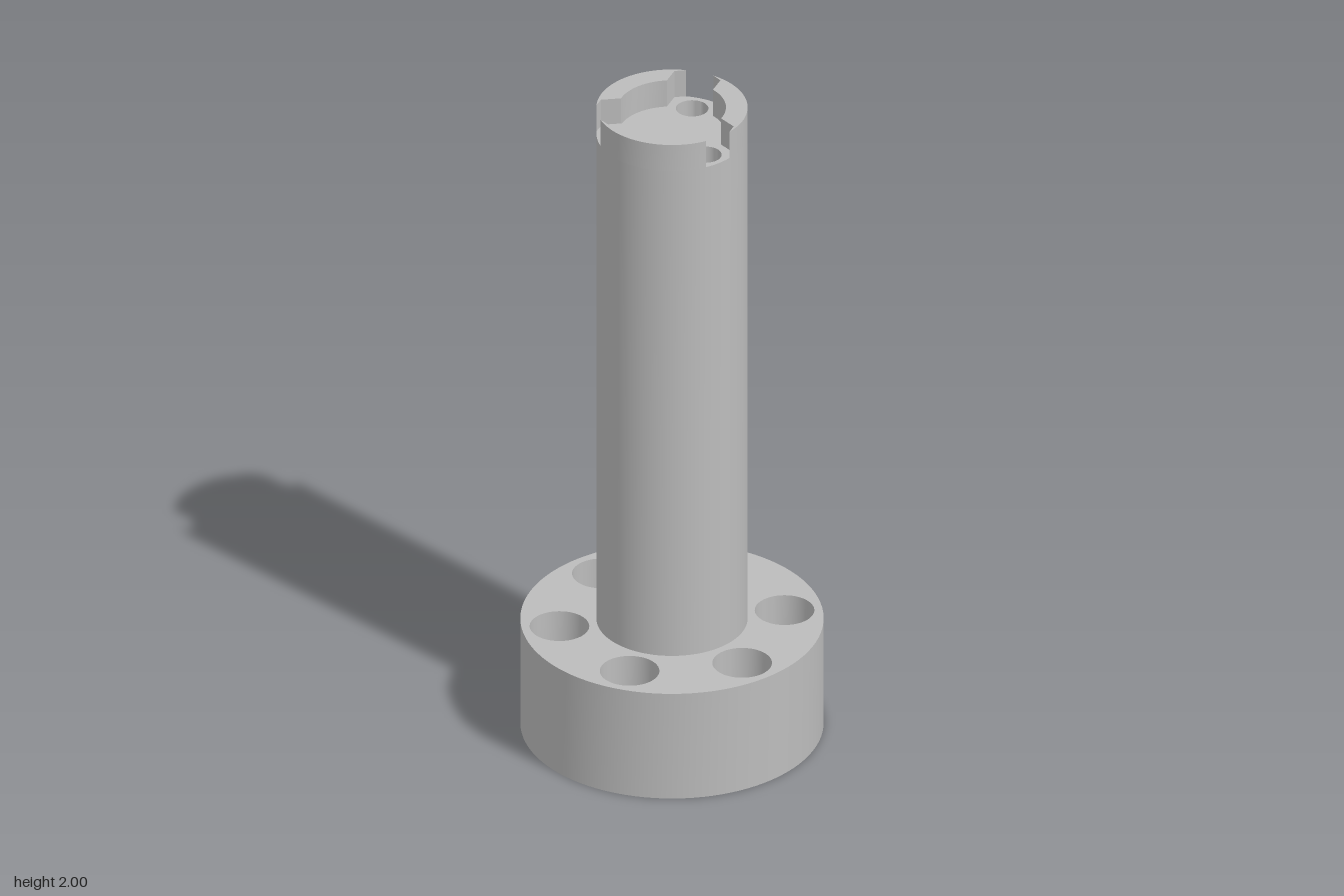
import * as THREE from 'three';
import { toCreasedNormals, mergeGeometries } from 'three/addons/utils/BufferGeometryUtils.js';

const FLANGE_R = 0.427, FLANGE_H = 0.34;
const COLUMN_R = 0.213, FLOOR_Y = 1.915, TOP_Y = 2;
const HOLE_R = 0.046, BORE_R = 0.084, BORE_Y = 0.14;
const HEX_R = 0.081, HEX_Y = 0.1, ROD_RADIUS = 0.152, SCREW_RADIUS = 0.32;
const CROWN_R = 0.152;

// Outlines are drawn in plan, with plan y pointing to the back (-z).
const polar = (r, a, c = new THREE.Vector2()) =>
  new THREE.Vector2(c.x + r * Math.cos(a), c.y + r * Math.sin(a));
const ring = (r, n, c, start = 0) =>
  Array.from({ length: n }, (_, i) => polar(r, start + (i / n) * Math.PI * 2, c));
const arc = (r, a0, a1, n) =>
  Array.from({ length: n + 1 }, (_, i) => polar(r, a0 + ((a1 - a0) * i) / n));

// Flat face at height y with holes, facing up or down
function cap(outline, holes, y, up = true) {
  const shape = new THREE.Shape(outline);
  shape.holes = holes.map((h) => new THREE.Path(h));
  let g = new THREE.ShapeGeometry(shape);
  if (!up) {
    const index = g.getIndex().array;
    for (let i = 0; i < index.length; i += 3) [index[i], index[i + 1]] = [index[i + 1], index[i]];
  }
  g.rotateX(-Math.PI / 2).translate(0, y, 0);
  g.deleteAttribute('uv');
  g = g.toNonIndexed();
  g.computeVertexNormals();
  return g;
}

// Upright wall along a closed outline; inward for holes
function wall(outline, y0, y1, inward = false) {
  const pts = inward ? [...outline].reverse() : outline;
  const pos = [];
  pts.forEach((a, i) => {
    const b = pts[(i + 1) % pts.length];
    pos.push(a.x, y0, -a.y, b.x, y0, -b.y, b.x, y1, -b.y);
    pos.push(a.x, y0, -a.y, b.x, y1, -b.y, a.x, y1, -a.y);
  });
  const g = new THREE.BufferGeometry();
  g.setAttribute('position', new THREE.Float32BufferAttribute(pos, 3));
  g.computeVertexNormals();
  return toCreasedNormals(g, 0.45);
}

export function createModel() {
  const model = new THREE.Group();
  model.name = 'flangedPost';
  const grey = new THREE.MeshStandardMaterial({ color: 0xbcbcbc });
  grey.name = 'plainGrey';
  const add = (name, ...parts) => {
    const mesh = new THREE.Mesh(mergeGeometries(parts), grey);
    mesh.name = name;
    model.add(mesh);
  };

  const rodAngles = [0, 1, 2].map((i) => Math.PI / 2 + (i * Math.PI * 2) / 3);
  const screwCentres = ring(SCREW_RADIUS, 6, undefined, Math.PI / 2);
  const screwHoles = screwCentres.map((c) => ring(HOLE_R, 32, c));
  const bores = screwCentres.map((c) => ring(BORE_R, 48, c));
  const rodHoles = rodAngles.map((a) => ring(HOLE_R, 32, polar(ROD_RADIUS, a)));
  const hexes = rodAngles.map((a) => ring(HEX_R, 6, polar(ROD_RADIUS, a), a));
  const flange = ring(FLANGE_R, 96);
  const column = ring(COLUMN_R, 96);

  // Base flange and upright column
  add('flange',
    wall(flange, 0, FLANGE_H),
    cap(flange, [...screwHoles, ...hexes], 0, false),
    cap(flange, [column, ...bores], FLANGE_H));
  add('column',
    wall(column, FLANGE_H, FLOOR_Y),
    cap(column, rodHoles, FLOOR_Y));

  // Counterbored screw holes around the flange
  screwHoles.forEach((hole, i) => add('screwHole',
    wall(hole, 0, BORE_Y, true),
    cap(bores[i], [hole], BORE_Y),
    wall(bores[i], BORE_Y, FLANGE_H, true)));

  // Long rod holes, each with a hexagonal nut pocket underneath
  rodHoles.forEach((hole, i) => add('rodHole',
    wall(hexes[i], 0, HEX_Y, true),
    cap(hexes[i], [hole], HEX_Y, false),
    wall(hole, HEX_Y, FLOOR_Y, true)));

  // Crown wall in three pieces, cut by hexagonal pockets that break through the rim
  const outerGap = 0.197, innerGap = 0.478;
  const corner = { r: Math.hypot(0.192, 0.07), a: Math.atan2(0.07, 0.192) };
  rodAngles.forEach((a) => {
    const b = a + (Math.PI * 2) / 3;
    const outline = [
      ...arc(COLUMN_R, a + outerGap, b - outerGap, 26),
      polar(corner.r, b - corner.a),
      ...arc(CROWN_R, b - innerGap, a + innerGap, 18),
      polar(corner.r, a + corner.a),
    ];
    add('crownSegment', wall(outline, FLOOR_Y, TOP_Y), cap(outline, [], TOP_Y));
  });

  return model;
}
